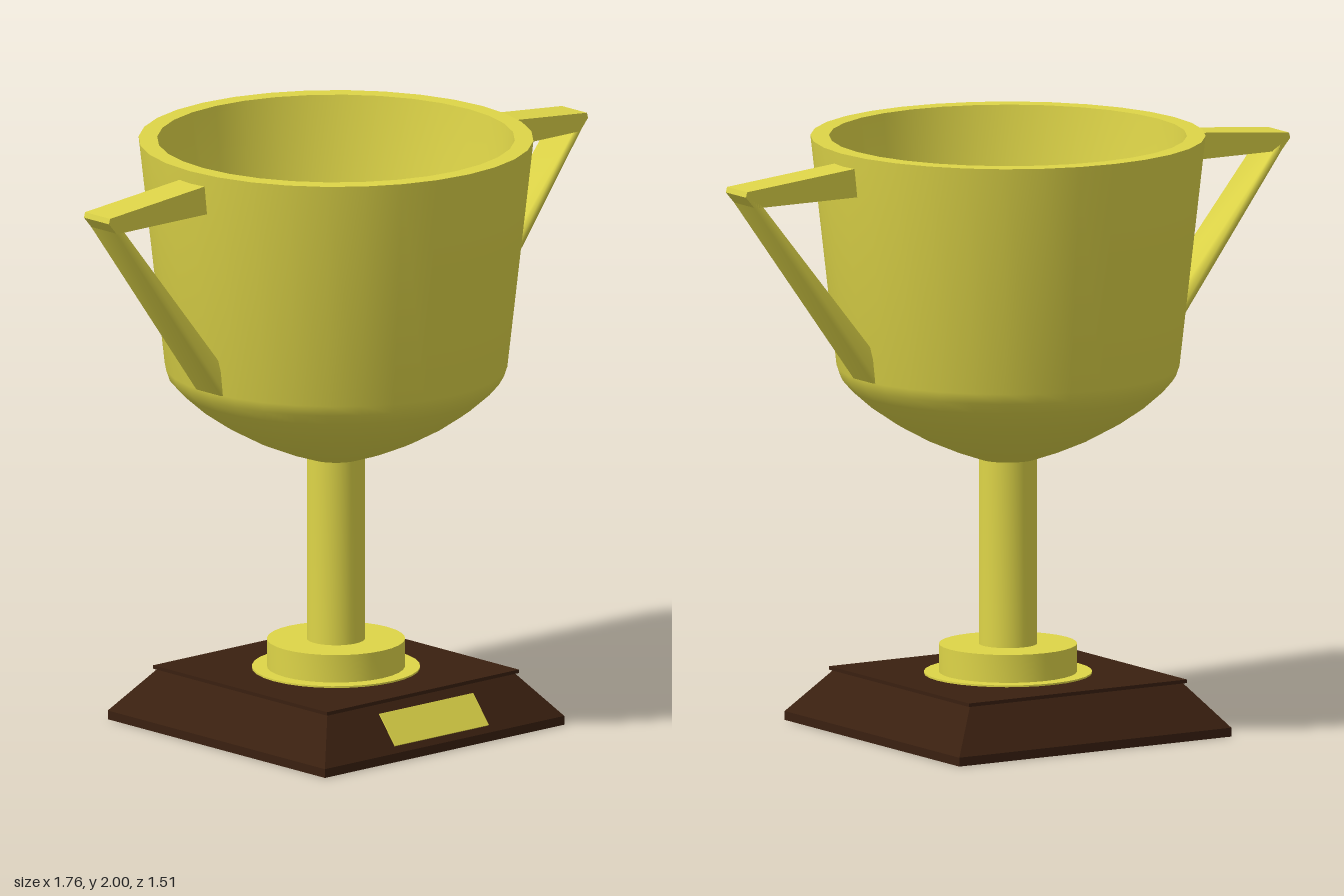
import * as THREE from 'three';
import { toCreasedNormals, mergeVertices } from 'three/addons/utils/BufferGeometryUtils.js';

const gold = new THREE.MeshStandardMaterial({ color: 0xded548 });
const wood = new THREE.MeshStandardMaterial({ color: 0x3a2010 });
const SEGMENTS = 32;

function mesh(name, geometry, material) {
  const m = new THREE.Mesh(geometry, material);
  m.name = name;
  return m;
}

// Turned part; the profile runs up the outside, then down the inside
function turned(name, profile) {
  const points = profile.map(([r, y]) => new THREE.Vector2(r, y));
  return mesh(name, toCreasedNormals(new THREE.LatheGeometry(points, SEGMENTS), 0.7), gold);
}

// Side outline in x and y, given depth along z
function slab(outline, depth) {
  const shape = new THREE.Shape(outline.map(([x, y]) => new THREE.Vector2(x, y)));
  const g = new THREE.ExtrudeGeometry(shape, { depth, bevelEnabled: false });
  return g.translate(0, 0, -depth / 2);
}

// Shared corners give the strut its soft shading
function softened(geometry) {
  geometry.deleteAttribute('normal');
  geometry.deleteAttribute('uv');
  const g = mergeVertices(geometry);
  g.computeVertexNormals();
  return g;
}

// Square tier, given half widths at top and bottom
function squareTier(name, topHalf, bottomHalf, y0, y1) {
  const g = new THREE.CylinderGeometry(topHalf * Math.SQRT2, bottomHalf * Math.SQRT2, y1 - y0, 4)
    .rotateY(Math.PI / 4).translate(0, (y0 + y1) / 2, 0).toNonIndexed();
  g.computeVertexNormals();
  return mesh(name, g, wood);
}

export function createModel() {
  const trophy = new THREE.Group();
  trophy.name = 'trophyCup';

  // Wooden base
  const base = new THREE.Group();
  base.name = 'base';
  base.add(
    squareTier('baseFoot', 0.537, 0.537, 0, 0.03),
    squareTier('baseSlope', 0.42, 0.537, 0.03, 0.175),
    squareTier('baseTop', 0.43, 0.43, 0.175, 0.187)
  );
  trophy.add(base);

  // Plaque lying on the front slope
  const plaque = mesh('plaque', new THREE.BoxGeometry(0.42, 0.123, 0.008), gold);
  plaque.position.set(0, 0.0975, 0.483);
  plaque.rotation.x = -Math.atan2(0.117, 0.145);
  trophy.add(plaque);

  // Stepped foot and stem
  trophy.add(turned('stem', [
    [0.28, 0.185], [0.28, 0.193], [0.23, 0.193], [0.23, 0.287], [0.097, 0.287], [0.097, 0.6], [0.097, 0.925]
  ]));

  // Bowl with a flat rim, open down into the stem
  trophy.add(turned('bowl', [
    [0.095, 0.912], [0.18, 0.942], [0.28, 0.985], [0.38, 1.04], [0.46, 1.095], [0.525, 1.152], [0.558, 1.19],
    [0.57, 1.225], [0.657, 2], [0.595, 2], [0.515, 1.25], [0.5, 1.21], [0.46, 1.16], [0.36, 1.08],
    [0.23, 1.01], [0.09, 0.955], [0.09, 0.187]
  ]));

  // Handles: a flat arm and a slanted strut on each side
  for (const side of [1, -1]) {
    const handle = new THREE.Group();
    handle.name = side > 0 ? 'leftHandle' : 'rightHandle';
    handle.add(
      mesh('handleArm', slab([[0.61, 1.86], [1.04, 1.86], [1.075, 1.9], [1.07, 1.918], [0.61, 1.96]], 0.124), gold),
      mesh('handleStrut', softened(slab([[0.55, 1.225], [0.57, 1.225], [1.07, 1.9], [1.01, 1.865], [0.585, 1.35]], 0.124)), gold)
    );
    if (side < 0) handle.rotation.y = Math.PI;
    trophy.add(handle);
  }

  // The whole cup stands turned
  trophy.rotation.y = 0.674;
  const model = new THREE.Group();
  model.name = 'trophy';
  model.add(trophy);
  return model;
}
